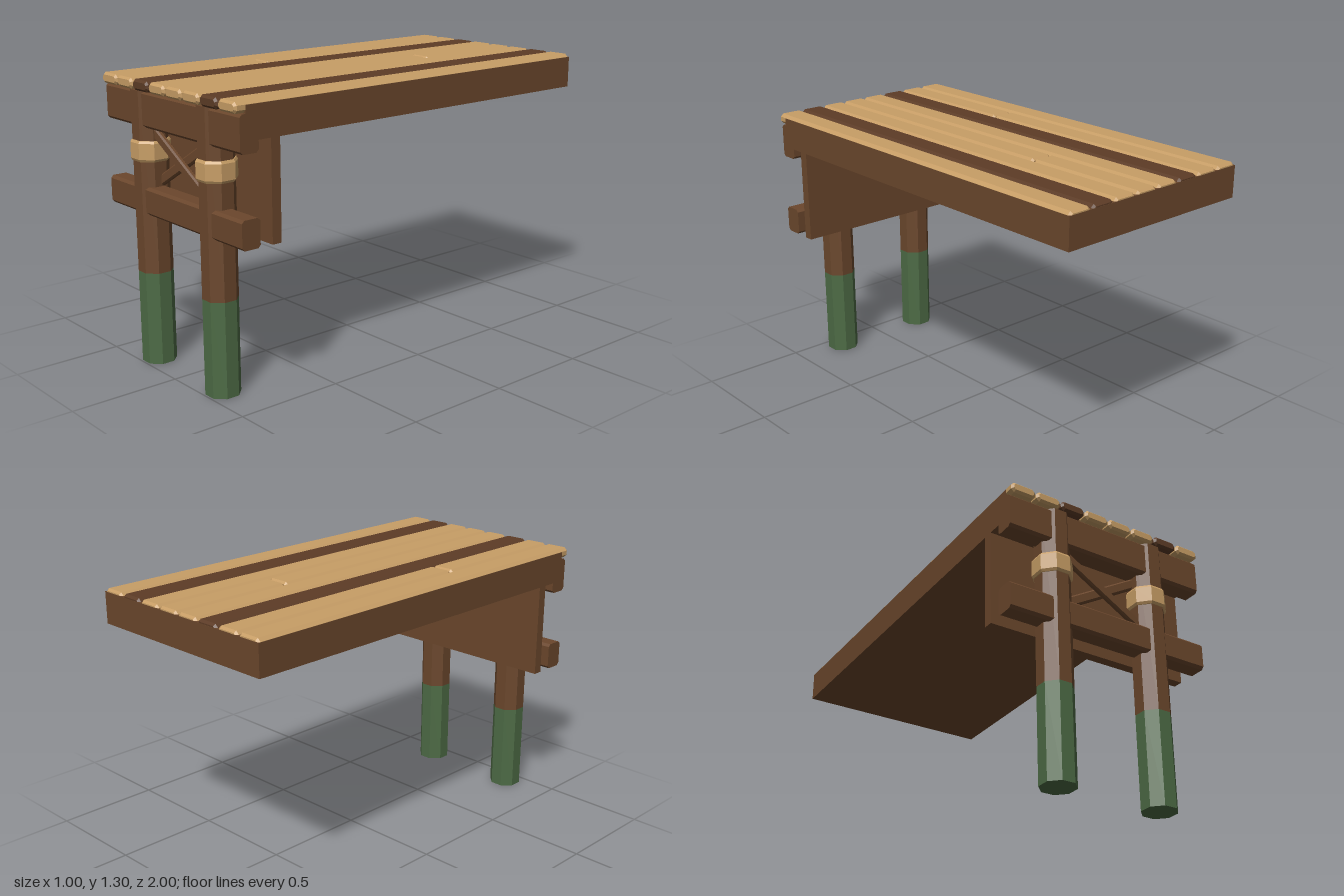
import * as THREE from 'three';

const material = (name, color) => Object.assign(new THREE.MeshStandardMaterial({ color }), { name });

// Bar running along z, centred on the origin, with chamfered long edges and optional chamfered ends
function chamferBar(w, h, length, c, endChamfer = false) {
  const x = w / 2, y = h / 2;
  const shape = new THREE.Shape([
    [-x + c, -y], [x - c, -y], [x, -y + c], [x, y - c],
    [x - c, y], [-x + c, y], [-x, y - c], [-x, -y + c],
  ].map(([a, b]) => new THREE.Vector2(a, b)));
  const e = endChamfer ? c * 0.7 : 0;
  const geo = new THREE.ExtrudeGeometry(shape, {
    depth: length - 2 * e, bevelEnabled: endChamfer,
    bevelThickness: e, bevelSize: e, bevelOffset: -e, bevelSegments: 1,
  });
  return geo.translate(0, 0, -length / 2 + e);
}

// Eight-sided turned part with a flat facing the front
function octagonal(profile) {
  const k = 1 / Math.cos(Math.PI / 8);
  const points = profile.map(([r, y]) => new THREE.Vector2(r * k, y));
  const geo = new THREE.LatheGeometry(points, 8, Math.PI / 8).toNonIndexed();
  geo.computeVertexNormals();
  return geo;
}

export function createModel() {
  const model = new THREE.Group();
  model.name = 'dock';
  const wood = material('brown wood', 0x6b472c);
  const darkWood = material('dark plank wood', 0x5d3c26);
  const lightWood = material('light wood', 0xc89e66);
  const algae = material('green algae', 0x4d6b45);

  const add = (name, geo, mat, x, y, z) => {
    const mesh = new THREE.Mesh(geo, mat);
    mesh.name = name;
    mesh.position.set(x, y, z);
    model.add(mesh);
    return mesh;
  };

  // Deck body and the board hanging below it
  add('deckBody', new THREE.BoxGeometry(1, 0.145, 1.95), wood, 0, 1.2125, -0.025);
  add('hangingBoard', new THREE.BoxGeometry(1, 0.45, 0.045), wood, 0, 0.925, 0.807);

  // Planks, two of them split by a joint
  const joints = { 1: 0.27, 4: -0.4 };
  for (let i = 0; i < 8; i++) {
    const x = -0.44 + i * 0.1257;
    const mat = i === 2 || i === 6 ? darkWood : lightWood;
    const cut = joints[i];
    const spans = cut === undefined ? [[-0.999, 1]] : [[-0.999, cut - 0.004], [cut + 0.004, 1]];
    for (const [a, b] of spans) {
      add('plank', chamferBar(0.119, 0.048, b - a, 0.014, true), mat, x, 1.276, (a + b) / 2);
    }
  }

  // Cross beams
  for (const [name, y, h] of [['upperBeam', 1.17, 0.16], ['lowerBeam', 0.763, 0.126]]) {
    add(name, chamferBar(0.09, h, 1, 0.012), wood, 0, y, 0.935).rotation.y = Math.PI / 2;
  }

  // Posts with algae at the waterline and a collar
  for (const side of [-1, 1]) {
    const x = side * 0.25, r = 0.0725;
    add('postBase', octagonal([[0, 0], [r, 0], [r, 0.43]]), algae, x, 0, 0.918);
    add('post', octagonal([[r, 0.43], [r, 1.25], [0, 1.25]]), wood, x, 0, 0.918);
    add('postCollar', octagonal([
      [r, 0.938], [0.076, 0.938], [0.082, 0.949], [0.082, 1.02], [0.076, 1.031], [r, 1.031],
    ]), lightWood, x, 0, 0.918);
  }

  // Crossed braces between the posts
  for (const side of [-1, 1]) {
    const brace = add('brace', chamferBar(0.026, 0.046, 0.48, 0.007), wood, 0, 0.96, side < 0 ? 0.93 : 0.903);
    brace.rotation.set(0, Math.PI / 2, side * 0.53, 'ZYX');
  }
  return model;
}
